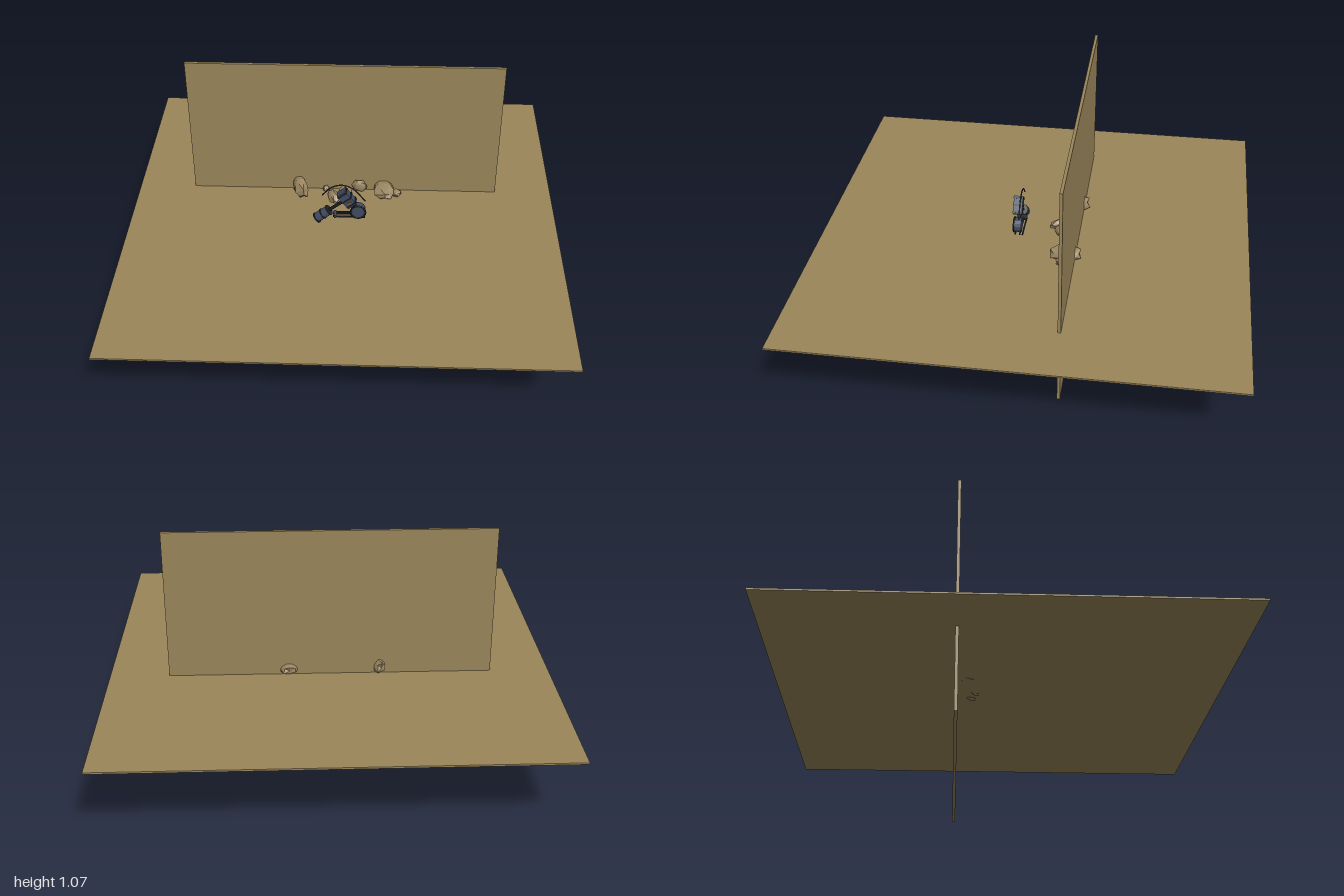
import * as THREE from 'three';

const mat = (name, color) => {
  const m = new THREE.MeshStandardMaterial({ color, flatShading: true });
  m.name = name;
  return m;
};

export function createModel() {
  const group = new THREE.Group();
  const sand = mat('sand', 0x9a865a);
  const stone = mat('stone', 0x9c8763);
  const steel = mat('blue steel', 0x414c60);
  const dark = mat('dark metal', 0x23272d);
  const rust = mat('rust orange', 0x9a5a2c);

  const add = (parent, name, geo, material, pos, rotZ = 0) => {
    const m = new THREE.Mesh(geo, material);
    m.name = name;
    m.position.set(...pos);
    m.rotation.z = rotZ;
    parent.add(m);
    return m;
  };
  const box = (...s) => new THREE.BoxGeometry(...s);

  // Ground slab and upright backdrop crossing it
  add(group, 'ground', box(2, 0.008, 2), sand, [0, 0.371, 0]);
  add(group, 'backWall', box(1.464, 1.068, 0.014), sand, [0, 0.534, -0.2]);

  // Faceted rocks: an icosahedron roughened by a rule, then sized
  const rock = (x, y, z, w, h, d, turn, seed) => {
    const g = new THREE.IcosahedronGeometry(0.5, 1);
    const p = g.attributes.position;
    const v = new THREE.Vector3();
    for (let i = 0; i < p.count; i++) {
      v.fromBufferAttribute(p, i);
      const k = 0.9 + 0.16 * Math.sin(v.x * 9 + seed * 2.1) * Math.cos(v.y * 7 + v.z * 8 + seed);
      p.setXYZ(i, v.x * k, v.y * k, v.z * k);
    }
    g.scale(w, h, d);
    g.computeVertexNormals();
    add(group, 'rock', g, stone, [x, y, z]).rotation.y = turn;
  };
  [
    [-0.215, 0.405, -0.165, 0.075, 0.1, 0.16, 0.3, 1],
    [-0.09, 0.385, -0.18, 0.036, 0.035, 0.036, 0, 2],
    [0, 0.385, -0.18, 0.036, 0.04, 0.04, 0.5, 3],
    [-0.05, 0.39, -0.11, 0.055, 0.06, 0.11, 0.35, 4],
    [0.005, 0.395, -0.13, 0.075, 0.085, 0.08, 0.2, 5],
    [0.075, 0.405, -0.18, 0.08, 0.07, 0.035, -0.2, 6],
    [0.19, 0.4, -0.165, 0.11, 0.07, 0.165, 0.1, 7],
    [0.25, 0.39, -0.15, 0.06, 0.035, 0.055, 0.4, 8],
  ].forEach((r) => rock(...r));

  // Small jointed mechanical arm floating in front of the rocks
  const arm = new THREE.Group();
  arm.name = 'mechanicalArm';
  group.add(arm);
  const z = 0.073;
  const slope = 0.68;

  // Lower left motor and the rod that runs up from it
  const motor = new THREE.Group();
  motor.name = 'motor';
  motor.position.set(-0.093, 0.425, z);
  motor.rotation.z = slope;
  arm.add(motor);
  const axle = -Math.PI / 2;
  add(motor, 'motorBody', new THREE.CylinderGeometry(0.023, 0.023, 0.072, 12), steel, [0, 0, 0], axle);
  for (const x of [-0.036, 0, 0.036])
    add(motor, 'motorBand', new THREE.CylinderGeometry(0.026, 0.026, 0.006, 12), dark, [x, 0, 0], axle);
  add(motor, 'rod', new THREE.CylinderGeometry(0.008, 0.008, 0.12, 8), dark, [0.09, 0, 0], axle);

  // Tilted housing at the top
  const housing = new THREE.Group();
  housing.name = 'housing';
  housing.position.set(0.02, 0.525, 0.08);
  housing.rotation.z = -0.9;
  arm.add(housing);
  add(housing, 'housingBody', box(0.085, 0.048, 0.042), steel, [0, 0, 0]);
  for (const x of [-0.034, 0, 0.034])
    add(housing, 'housingRib', box(0.007, 0.052, 0.046), dark, [x, 0, 0]);
  add(housing, 'accentPlate', box(0.008, 0.02, 0.048), rust, [0.018, 0, 0]);

  // Elbow wheel at the right
  const wheel = new THREE.CylinderGeometry(0.034, 0.034, 0.036, 14).rotateX(Math.PI / 2);
  add(arm, 'elbowWheel', wheel, steel, [0.072, 0.452, 0.075]);
  add(arm, 'elbowRim', new THREE.TorusGeometry(0.034, 0.005, 6, 16), dark, [0.072, 0.452, 0.091]);
  add(arm, 'link', box(0.016, 0.08, 0.016), dark, [0.052, 0.485, z], 0.5);

  // Low horizontal prongs
  for (const pz of [0.05, 0.063, 0.084])
    add(arm, 'prong', box(0.15, 0.007, 0.006), dark, [0.03, 0.42, pz]);
  add(arm, 'prongBridge', box(0.012, 0.014, 0.04), steel, [-0.035, 0.42, 0.067]);

  // Cable arching over the arm
  const path = new THREE.CatmullRomCurve3([
    [-0.095, 0.53], [-0.05, 0.575], [-0.005, 0.588], [0.045, 0.57], [0.105, 0.5],
  ].map(([x, y]) => new THREE.Vector3(x, y, 0.067)));
  add(arm, 'cable', new THREE.TubeGeometry(path, 20, 0.003, 6), dark, [0, 0, 0]);

  return group;
}
